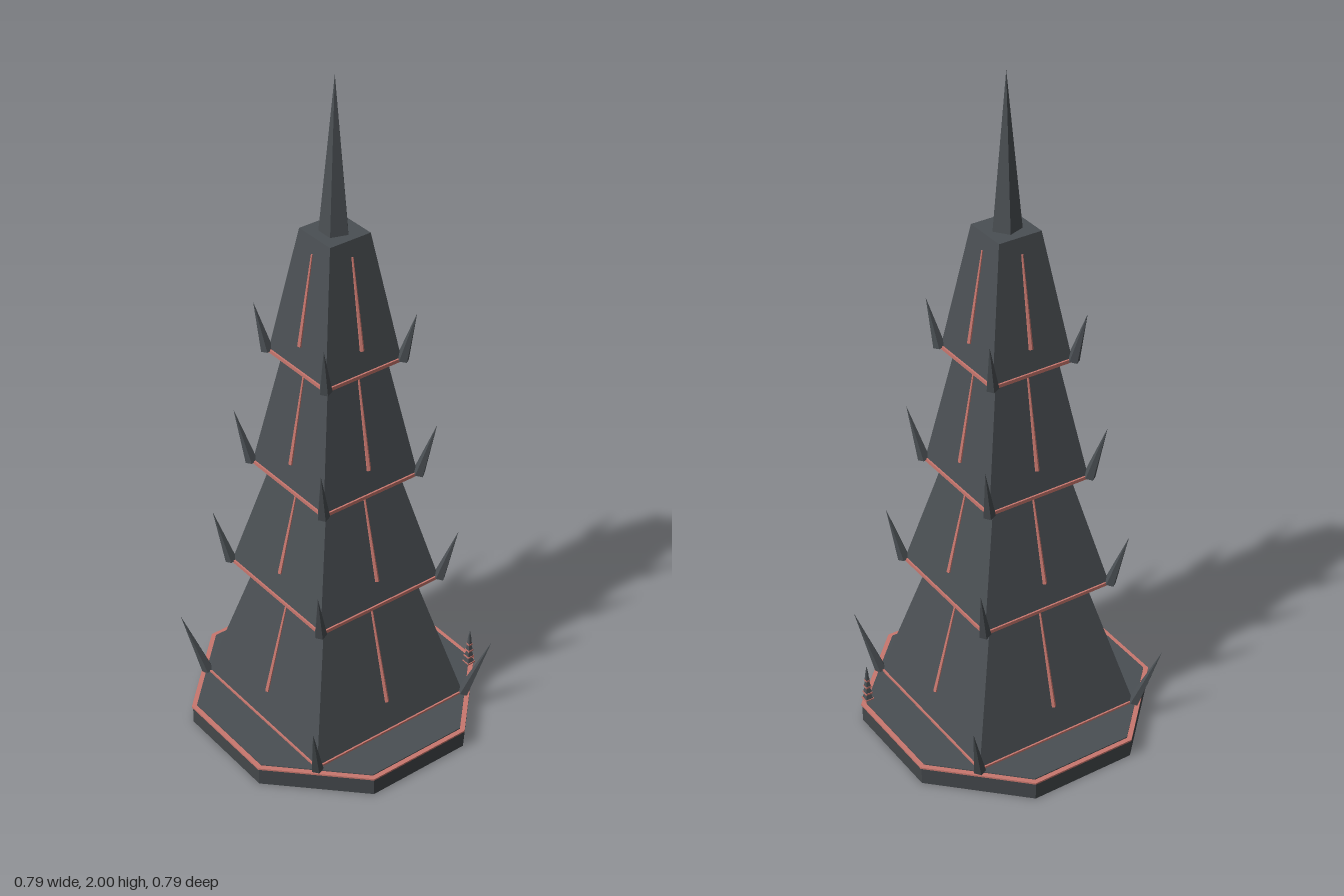
import * as THREE from 'three';

const mat = (name, color) => {
  const m = new THREE.MeshStandardMaterial({ color, flatShading: true });
  m.name = name;
  return m;
};

export function createModel() {
  const slate = mat('slate', 0x4a4f53);
  const darkSlate = mat('dark slate', 0x43474a);
  const red = mat('dull red', 0xc8776e);
  const tower = new THREE.Group();
  tower.name = 'spikedTower';

  const add = (parent, name, geometry, material) => {
    const mesh = new THREE.Mesh(geometry, material);
    mesh.name = name;
    parent.add(mesh);
    return mesh;
  };

  // Upright prism or frustum with flat sides facing the axes; sizes are half widths
  const frustum = (sides, bottom, top, y0, y1) => {
    const k = 1 / Math.cos(Math.PI / sides);
    return new THREE.CylinderGeometry(top * k, bottom * k, y1 - y0, sides)
      .rotateY(Math.PI / sides).translate(0, (y0 + y1) / 2, 0);
  };

  // Tapered rod between two points
  const up = new THREE.Vector3(0, 1, 0);
  const rod = (a, b, ra, rb, sides) => {
    const dir = b.clone().sub(a);
    const g = new THREE.CylinderGeometry(rb, ra, dir.length(), sides);
    g.applyQuaternion(new THREE.Quaternion().setFromUnitVectors(up, dir.normalize()));
    const mid = a.clone().add(b).multiplyScalar(0.5);
    return g.translate(mid.x, mid.y, mid.z);
  };

  // Octagonal foundation with a red rim around its top
  add(tower, 'foundation', frustum(8, 0.39, 0.39, 0, 0.054), darkSlate);
  add(tower, 'foundationRim', frustum(8, 0.393, 0.393, 0.054, 0.059), red);
  add(tower, 'foundationFloor', frustum(8, 0.379, 0.379, 0.059, 0.062), slate);

  // Four tapering tiers
  const tiers = [
    { y0: 0.058, y1: 0.474, b: 0.262, t: 0.157, tip: 0.318, rise: 0.255, s0: 0.15, s1: 0.46 },
    { y0: 0.474, y1: 0.823, b: 0.205, t: 0.124, tip: 0.243, rise: 0.64, s0: 0.55, s1: 0.81 },
    { y0: 0.823, y1: 1.187, b: 0.159, t: 0.098, tip: 0.195, rise: 0.99, s0: 0.9, s1: 1.17 },
    { y0: 1.187, y1: 1.565, b: 0.124, t: 0.065, tip: 0.152, rise: 1.335, s0: 1.26, s1: 1.52 },
  ];
  tiers.forEach((p, i) => {
    const tier = new THREE.Group();
    tier.name = `tier${i + 1}`;
    tower.add(tier);
    add(tier, 'walls', frustum(4, p.b, p.t, p.y0 + 0.01, p.y1), slate);
    add(tier, 'trim', frustum(4, p.b + 0.005, p.b + 0.005, p.y0, p.y0 + 0.01), red);

    const wallAt = (y) => p.b + (p.t - p.b) * (y - p.y0) / (p.y1 - p.y0);
    for (let k = 0; k < 4; k++) {
      // Red rib down the middle of each wall
      const rib = add(tier, 'rib', rod(
        new THREE.Vector3(0, p.s0, wallAt(p.s0) + 0.002),
        new THREE.Vector3(0, p.s1, wallAt(p.s1) + 0.001), 0.007, 0.003, 6), red);
      rib.rotation.y = k * Math.PI / 2;
      // Outward-leaning thorn at each corner
      const c = p.b + 0.003;
      const thorn = add(tier, 'thorn', rod(
        new THREE.Vector3(c, p.y0 + 0.004, c),
        new THREE.Vector3(p.tip, p.rise, p.tip), 0.018, 0, 5), slate);
      thorn.rotation.y = k * Math.PI / 2;
    }
  });

  // Five-sided spire
  const spire = add(tower, 'spire', new THREE.ConeGeometry(0.042, 0.435, 5), slate);
  spire.position.y = 1.7825;
  spire.rotation.y = Math.PI;

  // Tiny tiered marker on the rear edge of the foundation
  const marker = new THREE.Group();
  marker.name = 'marker';
  marker.position.set(0.172, 0.06, -0.365);
  tower.add(marker);
  for (let i = 0; i < 4; i++) {
    const h = 0.013 - i * 0.0022;
    const y = i * 0.022;
    add(marker, 'markerTrim', frustum(4, h, h, y, y + 0.005), red);
    add(marker, 'markerTier', frustum(4, h * 0.85, h * 0.5, y + 0.005, y + 0.022), slate);
  }
  add(marker, 'markerSpire', frustum(4, 0.004, 0, 0.088, 0.12), slate);

  return tower;
}
